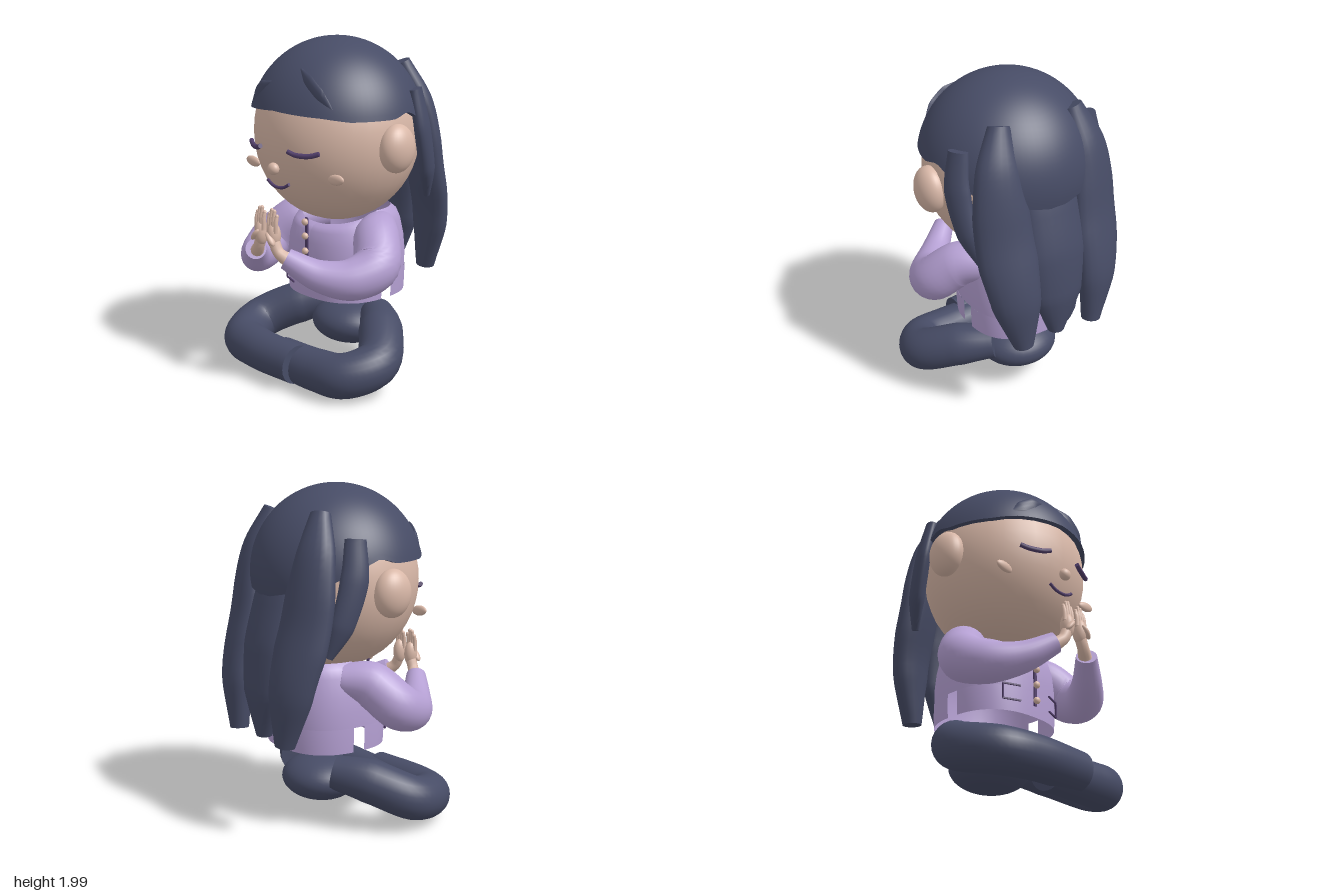
import * as THREE from 'three';
import { toCreasedNormals } from 'three/addons/utils/BufferGeometryUtils.js';
import { ParametricGeometry } from 'three/addons/geometries/ParametricGeometry.js';

const V = (a) => new THREE.Vector3(...a);

function mat(name, color) {
  const m = new THREE.MeshStandardMaterial({ color });
  m.name = name;
  return m;
}

// Elliptical tube along a curve. radii: [width, thickness] per point; ref: width direction.
function sweep(pts, radii, ref, steps = 28, sides = 20) {
  const curve = new THREE.CatmullRomCurve3(pts.map(V));
  const pos = [], idx = [];
  for (let i = 0; i <= steps; i++) {
    const t = i / steps, f = t * (radii.length - 1);
    const k = Math.min(Math.floor(f), radii.length - 2), m = f - k;
    const w = THREE.MathUtils.lerp(radii[k][0], radii[k + 1][0], m);
    const h = THREE.MathUtils.lerp(radii[k][1], radii[k + 1][1], m);
    const p = curve.getPoint(t), T = curve.getTangent(t);
    const S = V(ref).addScaledVector(T, -V(ref).dot(T)).normalize();
    const N = T.clone().cross(S);
    for (let j = 0; j < sides; j++) {
      const a = (j / sides) * Math.PI * 2;
      const q = p.clone().addScaledVector(S, w * Math.cos(a)).addScaledVector(N, h * Math.sin(a));
      pos.push(q.x, q.y, q.z);
    }
  }
  const end = steps * sides, c0 = (steps + 1) * sides;
  pos.push(...curve.getPoint(0).toArray(), ...curve.getPoint(1).toArray());
  for (let j = 0; j < sides; j++) {
    const n = (j + 1) % sides;
    for (let i = 0; i < steps; i++) {
      const a = i * sides + j, b = i * sides + n;
      idx.push(a, b, b + sides, a, b + sides, a + sides);
    }
    idx.push(c0, n, j, c0 + 1, end + j, end + n);
  }
  const g = new THREE.BufferGeometry();
  g.setAttribute('position', new THREE.Float32BufferAttribute(pos, 3));
  g.setIndex(idx);
  return toCreasedNormals(g, 0.9);
}

// Turned cloth shell, squared a little in plan, with the collar dipping at the front
function cloth(profile, segments, start, length) {
  const g = new THREE.LatheGeometry(profile.map(([x, y]) => new THREE.Vector2(x, y)), segments, start, length);
  const p = g.attributes.position;
  for (let i = 0; i < p.count; i++) {
    const x = p.getX(i), y = p.getY(i), z = p.getZ(i), r = Math.hypot(x, z);
    const k = (Math.abs(x / r) ** 2.5 + Math.abs(z / r) ** 2.5) ** -0.4;
    const dip = 0.075 * Math.max(0, (y - 0.85) / 0.15) * Math.max(0, z / r);
    p.setXYZ(i, x * k, y - dip, z * k * 0.96);
  }
  g.computeVertexNormals();
  return g;
}

export function createModel() {
  const model = new THREE.Group();
  model.name = 'meditatingFigure';
  const navy = mat('navy', 0x474c66);
  const skin = mat('skin', 0xd9b8a8);
  const lavender = mat('lavender', 0xb5a0d3);
  lavender.side = THREE.DoubleSide;
  const plum = mat('plum', 0x523f6b);

  const add = (name, geo, material, parent = model) => {
    const m = new THREE.Mesh(geo, material);
    m.name = name;
    parent.add(m);
    return m;
  };
  const blob = (name, c, r, material, parent) => {
    const m = add(name, new THREE.SphereGeometry(1, 32, 24), material, parent);
    m.position.set(...c);
    m.scale.set(...r);
    return m;
  };
  const mirror = (s, pts) => pts.map(([x, y, z]) => [s * x, y, z]);
  const even = (...r) => r.map((v) => [v, v]);

  // Head and face
  const faceZ = (x, y) => 0.48 * Math.sqrt(1 - (x / 0.49) ** 2 - ((y - 1.45) / 0.52) ** 2);
  blob('head', [0, 1.45, 0], [0.49, 0.52, 0.48], skin);
  blob('nose', [0, 1.295, 0.49], [0.037, 0.035, 0.03], skin);
  add('mouth', sweep([[-0.09, 1.215, 0.455], [-0.05, 1.192, 0.457], [0, 1.184, 0.458], [0.05, 1.192, 0.457], [0.09, 1.215, 0.455]],
    even(0.009, 0.009), [0, 1, 0], 20, 8), plum);
  for (const s of [1, -1]) {
    const lid = [[0.115, 1.408], [0.155, 1.394], [0.2, 1.39], [0.245, 1.394], [0.285, 1.408]];
    add('closedEye', sweep(lid.map(([x, y]) => [s * x, y, faceZ(x, y) + 0.02]), even(0.014, 0.015, 0.014), [0, 1, 0], 20, 8), plum);
    const cheek = blob('cheek', [s * 0.35, 1.265, 0.345], [0.06, 0.03, 0.018], skin);
    cheek.rotation.z = s * 0.12;
    blob('ear', [s * 0.495, 1.415, 0.02], [0.085, 0.137, 0.117], skin);
  }

  // Hair cap with an uneven lower edge tucked in against the head
  const edge = [[0, 1.62], [0.2, 1.6], [0.3, 1.58], [0.47, 1.58], [0.54, 1.612], [0.59, 1.58], [0.75, 1.46], [1, 1.38]];
  const edgeY = (a) => {
    const i = Math.max(1, edge.findIndex((e) => e[0] >= a - 1e-6));
    const [p, q] = [edge[i - 1], edge[i]];
    return THREE.MathUtils.mapLinear(a, p[0], q[0], p[1], q[1]);
  };
  const capPoint = (phi, theta, k, out) => out.set(
    0.515 * k * Math.sin(theta) * Math.sin(phi), 1.48 + 0.52 * Math.cos(theta), 0.505 * k * Math.sin(theta) * Math.cos(phi));
  const cap = new ParametricGeometry((u, v, out) => {
    const phi = Math.PI * (1 - 2 * u);
    const low = Math.acos((edgeY(Math.abs(phi) / Math.PI) - 1.48) / 0.52);
    capPoint(phi, low * Math.min(1, v / 0.96), v > 0.97 ? 0.92 : 1, out);
  }, 80, 25);
  add('hairCap', toCreasedNormals(cap, 0.7), navy);

  // Low fringe locks on the cap
  const lock = (name, from, to) => {
    const pts = [0, 0.33, 0.67, 1].map((t) => capPoint(
      THREE.MathUtils.lerp(from[0], to[0], t), THREE.MathUtils.lerp(from[1], to[1], t), 0.982, new THREE.Vector3()).toArray());
    add(name, sweep(pts, [[0.008, 0.006], [0.05, 0.017], [0.05, 0.017], [0.008, 0.006]], [0.5, 1, 0], 20, 12), navy);
  };
  lock('fringeLeft', [0.22, 0.8], [0.75, 1.27]);
  lock('fringeRight', [-0.22, 1.0], [-0.72, 1.28]);

  // Long hair strands
  add('backStrand', sweep([[0, 1.6, -0.37], [0, 1.36, -0.43], [0, 1.1, -0.49], [0, 0.83, -0.515], [0, 0.58, -0.51]],
    [[0.16, 0.05], [0.18, 0.075], [0.19, 0.085], [0.16, 0.08], [0.05, 0.045]], [1, 0, 0]), navy);
  for (const s of [1, -1]) {
    add('longStrand', sweep(mirror(s, [[0.24, 1.85, -0.28], [0.3, 1.6, -0.365], [0.305, 1.25, -0.43], [0.285, 0.92, -0.51], [0.24, 0.575, -0.53]]),
      [[0.06, 0.05], [0.12, 0.075], [0.16, 0.085], [0.17, 0.087], [0.14, 0.085], [0.06, 0.055]], [s * 0.93, 0, 0.3]), navy);
    add('sideStrand', sweep(mirror(s, [[0.435, 1.72, -0.19], [0.465, 1.5, -0.22], [0.445, 1.25, -0.29], [0.4, 1.08, -0.345]]),
      [[0.06, 0.035], [0.08, 0.045], [0.07, 0.045], [0.025, 0.02]], [s * 0.45, 0, 0.9]), navy);
  }

  // Jacket: upper part open at the collar and a hem split at both sides
  const jacket = new THREE.Group();
  jacket.name = 'jacket';
  jacket.position.z = -0.08;
  model.add(jacket);
  add('jacketBody', cloth([[0.332, 0.63], [0.334, 0.72], [0.325, 0.82], [0.305, 0.92], [0.285, 0.97], [0.25, 1.0]],
    48, 0, Math.PI * 2), lavender, jacket);
  for (const [name, start] of [['hemFront', -Math.PI / 2], ['hemBack', Math.PI / 2]]) {
    add(name, cloth([[0.33, 0.485], [0.334, 0.56], [0.334, 0.632]], 32, start + 0.12, Math.PI - 0.24), lavender, jacket);
  }

  // Placket, buttons and pocket trims
  add('placket', new THREE.BoxGeometry(0.02, 0.42, 0.009), plum).position.set(0, 0.76, 0.245);
  for (const y of [0.58, 0.675, 0.77, 0.86, 0.945]) blob('button', [0, y, 0.258], [0.021, 0.021, 0.018], skin);
  for (const s of [1, -1]) {
    for (const y of [0.55, 0.64]) {
      const trim = add('pocketTrim', new THREE.BoxGeometry(0.11, 0.009, 0.009), plum);
      trim.position.set(s * 0.168, y, 0.224);
      trim.rotation.y = s * 0.37;
    }
    add('pocketSide', new THREE.BoxGeometry(0.008, 0.09, 0.009), plum).position.set(s * 0.218, 0.595, 0.205);
  }

  // Arms and pressed hands
  for (const s of [1, -1]) {
    add('sleeve', sweep(mirror(s, [[0.23, 0.9, -0.14], [0.33, 0.87, 0], [0.435, 0.745, 0.12], [0.39, 0.69, 0.265], [0.27, 0.715, 0.4], [0.13, 0.81, 0.52]]),
      even(0.09, 0.135, 0.137, 0.12, 0.09, 0.06), [0, 1, 0], 36, 24), lavender);
    const hand = new THREE.Group();
    hand.name = 'hand';
    model.add(hand);
    add('wrist', sweep(mirror(s, [[0.13, 0.8, 0.51], [0.085, 0.84, 0.535], [0.055, 0.9, 0.54]]), even(0.04, 0.033, 0.033), [0, 0, 1], 10, 12), skin, hand);
    blob('palm', [s * 0.053, 0.93, 0.54], [0.038, 0.075, 0.042], skin, hand);
    for (let i = 0; i < 4; i++) {
      const x = 0.022 + i * 0.02, top = [1.05, 1.075, 1.07, 1.045][i];
      add('finger', sweep(mirror(s, [[x, 0.95, 0.55], [x, 1.01, 0.548], [x, top, 0.54]]), even(0.014, 0.013, 0.011), [1, 0, 0], 10, 10), skin, hand);
      blob('fingertip', [s * x, top, 0.54], [0.011, 0.013, 0.011], skin, hand);
    }
    const thumb = blob('thumb', [s * 0.065, 0.92, 0.575], [0.016, 0.045, 0.022], skin, hand);
    thumb.rotation.z = s * 0.7;
  }

  // Pelvis and crossed legs, the right shin lying in front of the left
  blob('pelvis', [0, 0.258, -0.115], [0.245, 0.135, 0.225], navy);
  const leg = (name, s, shin) => add(name, sweep(
    mirror(s, [[0.19, 0.335, -0.15], [0.35, 0.3, -0.02], [0.505, 0.2, 0.18], ...shin]),
    even(0.1, 0.13, 0.13, 0.13, 0.123, 0.115), [0, 1, 0], 40, 24), navy);
  leg('leftLeg', 1, [[0.42, 0.145, 0.345], [0.23, 0.132, 0.38], [-0.07, 0.13, 0.385]]);
  leg('rightLeg', -1, [[0.42, 0.155, 0.38], [0.23, 0.15, 0.435], [-0.12, 0.148, 0.435]]);
  blob('foot', [-0.09, 0.125, 0.36], [0.06, 0.05, 0.06], skin);
  return model;
}
